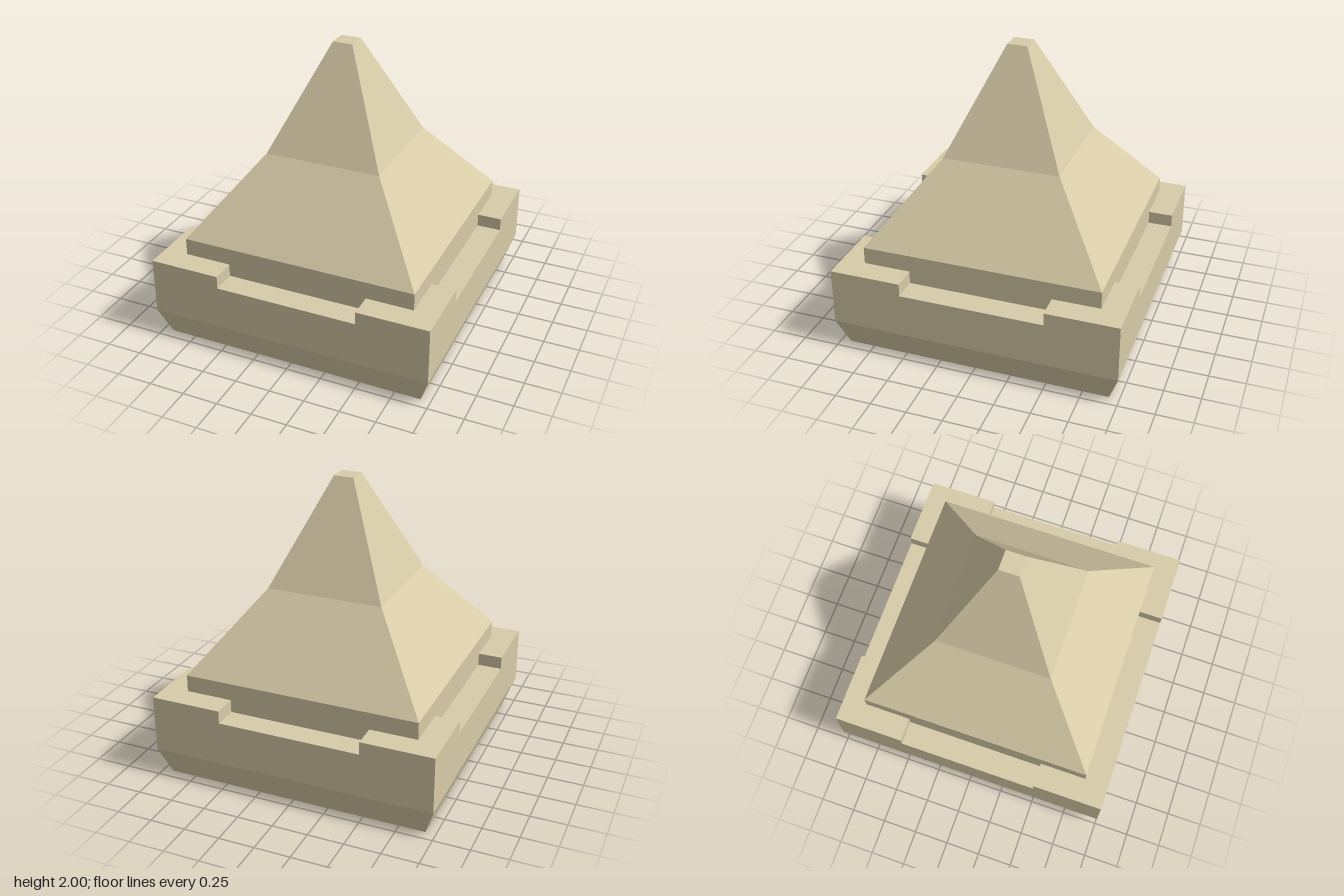
import * as THREE from 'three';

const material = new THREE.MeshStandardMaterial({ color: 0xd8cca8, flatShading: true });

// Square solid of revolution: profile points are [half width, height], bottom to top
function squareLathe(name, profile) {
  const points = profile.map(([half, y]) => new THREE.Vector2(half * Math.SQRT2, y));
  const geometry = new THREE.LatheGeometry(points, 4, Math.PI / 4).toNonIndexed();
  geometry.computeVertexNormals();
  const mesh = new THREE.Mesh(geometry, material);
  mesh.name = name;
  return mesh;
}

export function createModel() {
  const model = new THREE.Group();
  model.name = 'pyramidCap';

  const ledge = 0.51, rim = 0.6, inner = 0.83, notch = 0.5;

  // Block with a tapered foot, up to the floor of the notches
  model.add(squareLathe('base', [[0, 0], [0.93, 0], [1, 0.2], [1, ledge], [inner, ledge]]));

  // Collar below the roof
  model.add(squareLathe('collar', [[inner, ledge], [inner, 0.72]]));

  // Two-pitch roof with a small flat tip
  model.add(squareLathe('roof', [[inner, 0.72], [0.41, 1.265], [0.07, 2], [0, 2]]));

  // Raised L-shaped corners of the rim, leaving a notch in the middle of each side
  const corner = new THREE.Shape([
    [inner, notch], [1, notch], [1, 1], [notch, 1], [notch, inner], [inner, inner],
  ].map(([x, y]) => new THREE.Vector2(x, y)));
  const cornerGeometry = new THREE.ExtrudeGeometry(corner, { depth: rim - ledge, bevelEnabled: false });
  cornerGeometry.rotateX(-Math.PI / 2).translate(0, ledge, 0);
  for (let i = 0; i < 4; i++) {
    const mesh = new THREE.Mesh(cornerGeometry, material);
    mesh.name = `rimCorner${i + 1}`;
    mesh.rotation.y = i * Math.PI / 2;
    model.add(mesh);
  }

  return model;
}
